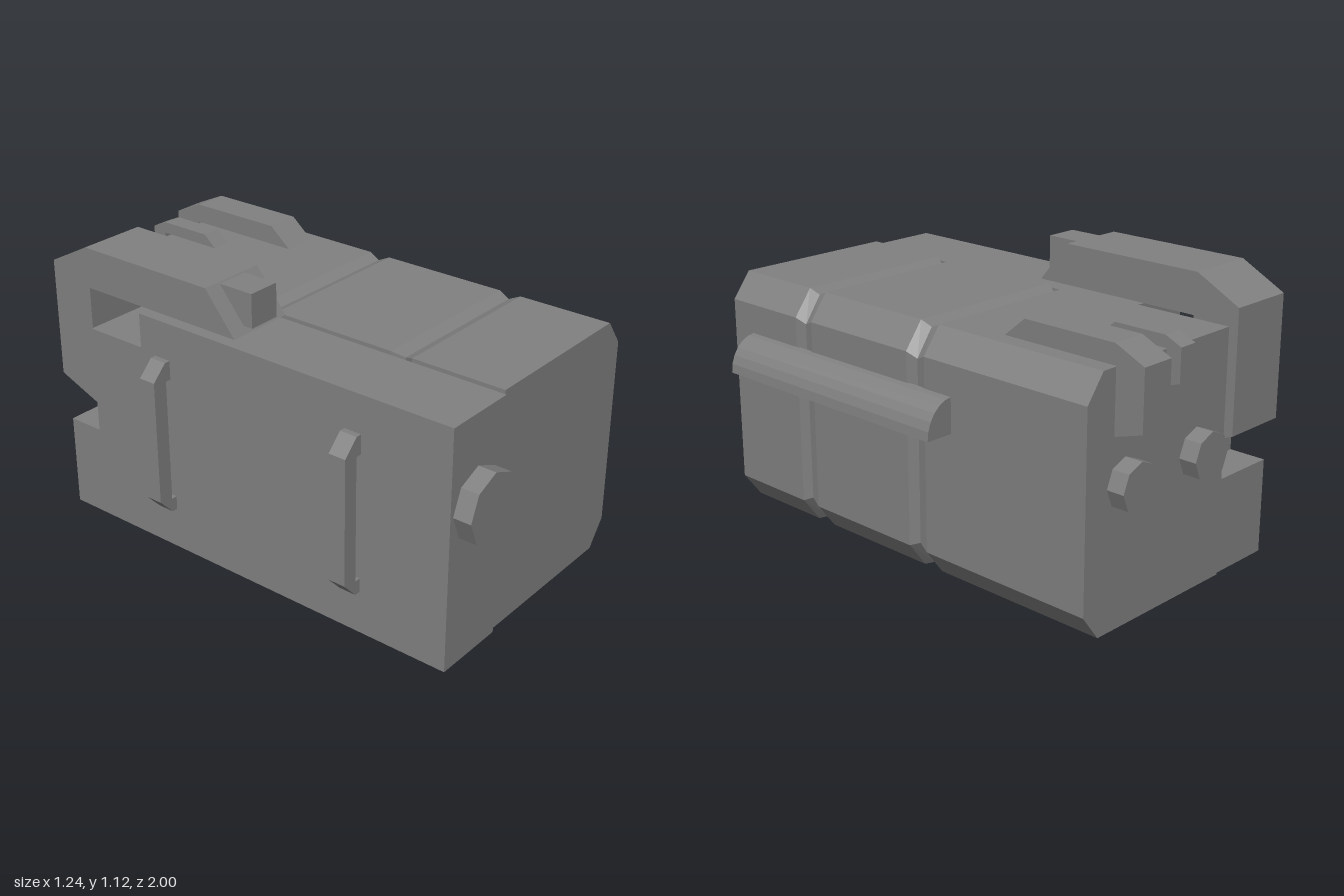
import * as THREE from 'three';

export function createModel() {
  const root = new THREE.Group();
  root.name = 'equipmentPack';
  const grey = new THREE.MeshStandardMaterial({ color: 0x808080, flatShading: true });
  grey.name = 'grey';

  const add = (name, geometry) => {
    const mesh = new THREE.Mesh(geometry, grey);
    mesh.name = name;
    root.add(mesh);
    return mesh;
  };
  const extrude = (points, depth) => new THREE.ExtrudeGeometry(
    new THREE.Shape(points.map(([a, b]) => new THREE.Vector2(a, b))),
    { depth, bevelEnabled: false });
  // Extrude a [z, y] profile from x0 to x1
  const sideProfile = (points, x0, x1) =>
    extrude(points.map(([z, y]) => [-z, y]), x1 - x0).rotateY(Math.PI / 2).translate(x0, 0, 0);
  // Extrude an [x, y] profile from z0 to z1
  const frontProfile = (points, z0, z1) => extrude(points, z1 - z0).translate(0, 0, z0);

  // Main body: chamfered cross-sections lofted along z, pinched at two V grooves
  const section = (z, pinched) => {
    const d = pinched ? 1 : 0;
    const l = -0.24 + 0.025 * d, r = 0.505 - 0.012 * d;
    const c = 0.43 - 0.008 * d, b = 0.01 + 0.02 * d, t = 0.95 - 0.02 * d;
    return [[l, b], [c, b], [r, b + 0.1], [r, t - 0.1], [c, t], [l, t]].map(([x, y]) => [x, y, z]);
  };
  const sections = [section(-0.88, false)];
  for (const g of [-0.095, 0.507]) {
    sections.push(section(g - 0.045, false), section(g, true), section(g + 0.045, false));
  }
  sections.push(section(0.925, false));
  const pos = [];
  const tri = (a, b, c) => pos.push(...a, ...b, ...c);
  for (let s = 0; s < sections.length - 1; s++) {
    const p = sections[s], q = sections[s + 1];
    for (let i = 0; i < 6; i++) {
      const j = (i + 1) % 6;
      tri(p[i], p[j], q[j]);
      tri(p[i], q[j], q[i]);
    }
  }
  const back = sections[0], front = sections[sections.length - 1];
  for (let i = 1; i < 5; i++) {
    tri(back[0], back[i + 1], back[i]);
    tri(front[0], front[i], front[i + 1]);
  }
  const body = new THREE.BufferGeometry();
  body.setAttribute('position', new THREE.Float32BufferAttribute(pos, 3));
  body.computeVertexNormals();
  add('mainBody', body);

  // Side compartment with a stepped rear
  add('sideCompartment', sideProfile([
    [0.93, 0], [0.93, 0.935], [-0.45, 0.935], [-0.45, 0.8],
    [-0.71, 0.8], [-0.71, 0.37], [-0.86, 0.37], [-0.86, 0],
  ], -0.535, -0.24));

  // Large hooked duct over the side compartment, with a block at its front
  add('topDuct', sideProfile([
    [0, 0.957], [-0.13, 1.115], [-0.73, 1.115], [-0.91, 1.02],
    [-0.91, 0.55], [-0.72, 0.475], [-0.72, 0.957],
  ], -0.52, -0.25));
  const block = add('ductBlock', new THREE.BoxGeometry(0.13, 0.13, 0.22));
  block.position.set(-0.385, 1.045, -0.09);

  // Two clips bent over the rear edge
  add('largeClip', sideProfile([
    [-0.4, 0.955], [-0.49, 1.03], [-0.88, 1.03], [-1, 0.975],
    [-1, 0.75], [-0.885, 0.715], [-0.885, 0.955],
  ], 0.24, 0.375));
  add('smallClip', sideProfile([
    [-0.625, 0.96], [-0.675, 1.005], [-0.89, 1.005], [-0.955, 0.975],
    [-0.955, 0.85], [-0.895, 0.83], [-0.895, 0.96],
  ], 0.055, 0.13));

  // Octagonal knobs: one on the front, two on the rear
  const knob = (name, x, y, z, r, depth) => {
    const g = new THREE.CylinderGeometry(r, r, depth, 8).rotateX(Math.PI / 2);
    add(name, g).position.set(x, y, z);
  };
  knob('frontKnob', -0.387, 0.603, 0.96, 0.134, 0.08);
  knob('rearKnobInner', -0.077, 0.536, -0.91, 0.092, 0.08);
  knob('rearKnobOuter', 0.308, 0.536, -0.91, 0.092, 0.08);

  // Quarter-round rail along the left side
  const rail = [[0.5, 0.6]];
  for (let i = 0; i <= 6; i++) {
    const a = (i / 6) * Math.PI / 2;
    rail.push([0.5 + 0.117 * Math.cos(a), 0.6 + 0.135 * Math.sin(a)]);
  }
  add('sideRail', frontProfile(rail, -0.27, 0.815));

  // Two grab handles on the right side
  for (const [name, z] of [['rearHandle', -0.375], ['frontHandle', 0.497]]) {
    add(name, frontProfile([
      [-0.537, 0.79], [-0.56, 0.79], [-0.62, 0.73], [-0.62, 0.235], [-0.56, 0.17],
      [-0.537, 0.17], [-0.537, 0.225], [-0.56, 0.225], [-0.56, 0.715], [-0.537, 0.715],
    ], z, z + 0.07));
  }
  return root;
}
